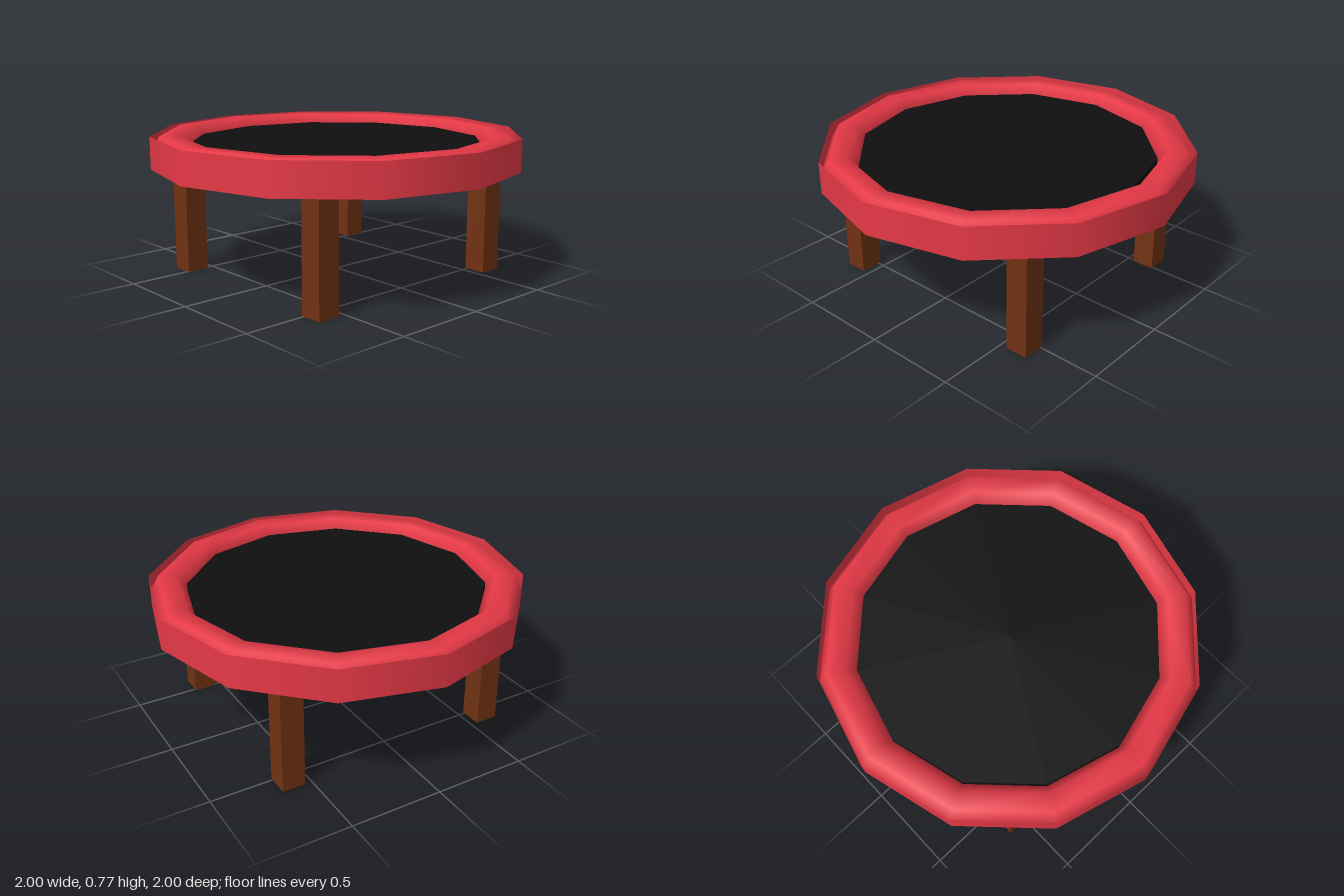
import * as THREE from 'three';

const SIDES = 12;
const LEG_HEIGHT = 0.6;
const RING_HEIGHT = 0.174;
const RING_Y = LEG_HEIGHT + RING_HEIGHT / 2;

export function createModel() {
  const model = new THREE.Group();
  model.name = 'trampoline';

  const red = new THREE.MeshStandardMaterial({ color: 0xe63946, side: THREE.DoubleSide });
  const black = new THREE.MeshStandardMaterial({ color: 0x0f0f0f });
  const brown = new THREE.MeshStandardMaterial({ color: 0x713213 });

  const add = (name, geometry, material, x, y, z) => {
    const mesh = new THREE.Mesh(geometry, material);
    mesh.name = name;
    mesh.position.set(x, y, z);
    model.add(mesh);
    return mesh;
  };

  // Padded ring with a six-sided section
  const pad = new THREE.TorusGeometry(0.9, 0.1, 6, SIDES).rotateX(-Math.PI / 2);
  add('paddedRing', pad, red, 0, RING_Y, 0);

  // Open outer band around the ring
  const band = new THREE.CylinderGeometry(1, 1, RING_HEIGHT, SIDES, 1, true);
  add('outerBand', band, red, 0, RING_Y, 0);

  // Jumping mat
  const mat = new THREE.CylinderGeometry(0.8, 0.8, 0.05, SIDES);
  add('jumpingMat', mat, black, 0, 0.702, 0);

  // Four square legs
  const leg = new THREE.BoxGeometry(0.124, LEG_HEIGHT, 0.124);
  for (const [side, x] of [['Left', 0.6], ['Right', -0.6]]) {
    for (const [end, z] of [['front', 0.55], ['back', -0.55]]) {
      add(`${end}${side}Leg`, leg, brown, x, LEG_HEIGHT / 2, z);
    }
  }

  return model;
}
